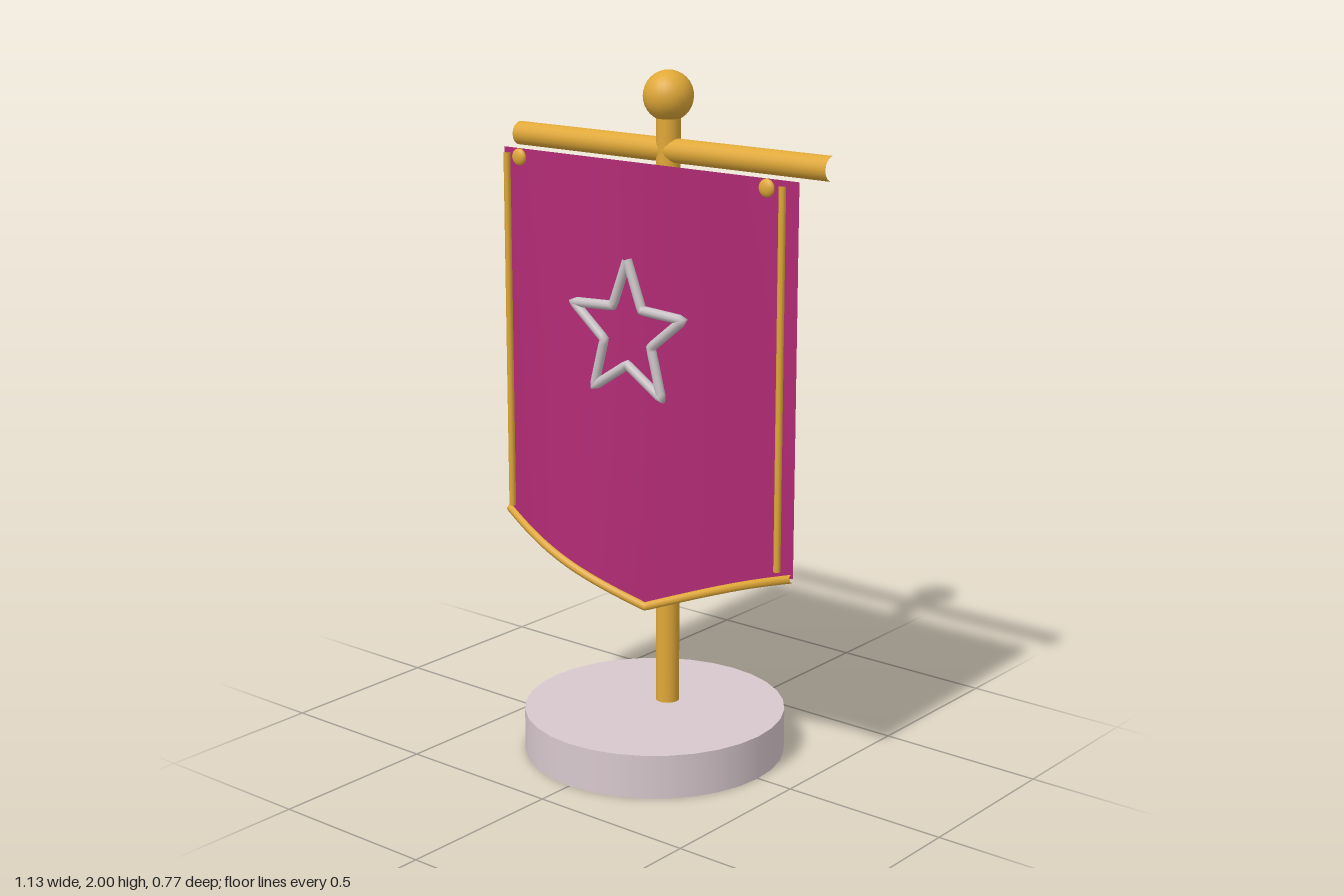
import * as THREE from 'three';

const gold = new THREE.MeshStandardMaterial({ color: 0xe0a838 });
const silver = new THREE.MeshStandardMaterial({ color: 0xc8c0c4 });
const stone = new THREE.MeshStandardMaterial({ color: 0xd8c8cd });
const fabric = new THREE.MeshStandardMaterial({ color: 0xb02a74, side: THREE.DoubleSide });

const HALF = 0.53, TOP = 1.75, POLE_Z = -0.06;

// Cloth surface: v runs from the straight top (0) to the pointed bottom (1),
// with one wave across the width that deepens downwards
function clothPoint(x, v) {
  const bottom = 0.45 + 0.2 * Math.abs(x) / HALF;
  const z = 0.045 - 0.054 * v * Math.sin(Math.PI * x / HALF);
  return new THREE.Vector3(x, TOP + (bottom - TOP) * v, z);
}

// Tube through straight pieces between points
function polyTube(points, segments, radius, sides) {
  const path = new THREE.CurvePath();
  for (let i = 1; i < points.length; i++) path.add(new THREE.LineCurve3(points[i - 1], points[i]));
  return new THREE.TubeGeometry(path, segments, radius, sides, false);
}

export function createModel() {
  const model = new THREE.Group();
  const add = (name, geometry, material, x = 0, y = 0, z = 0) => {
    const mesh = new THREE.Mesh(geometry, material);
    mesh.name = name;
    mesh.position.set(x, y, z);
    model.add(mesh);
    return mesh;
  };

  // Stand
  add('base', new THREE.CylinderGeometry(0.385, 0.385, 0.13, 32), stone, 0, 0.065, 0);
  add('pole', new THREE.CylinderGeometry(0.035, 0.035, 1.77, 24), gold, 0, 1.005, POLE_Z);
  add('finial', new THREE.SphereGeometry(0.072, 24, 16), gold, 0, 1.928, POLE_Z);

  // Crossbar, an open tube
  const bar = add('crossbar', new THREE.CylinderGeometry(0.035, 0.035, 1.126, 16, 1, true), gold, 0, 1.776, POLE_Z);
  bar.rotation.z = Math.PI / 2;

  // Waving banner cloth
  const cloth = new THREE.PlaneGeometry(2 * HALF, 1, 40, 24);
  const pos = cloth.attributes.position;
  for (let i = 0; i < pos.count; i++) {
    const p = clothPoint(pos.getX(i), 0.5 - pos.getY(i));
    pos.setXYZ(i, p.x, p.y, p.z);
  }
  cloth.computeVertexNormals();
  add('bannerCloth', cloth, fabric);

  // Trim along the pointed bottom edge
  const edge = [];
  for (let i = 0; i <= 40; i++) edge.push(clothPoint(-HALF + i * HALF / 20, 1));
  add('bottomTrim', polyTube(edge, 80, 0.013, 8), gold);

  // Side trims and buttons
  for (const [side, s] of [['left', 1], ['right', -1]]) {
    add(side + 'Trim', new THREE.CylinderGeometry(0.01, 0.01, 1.07, 8, 1, true), gold, s * 0.495, 1.205, 0.073);
    add(side + 'Button', new THREE.SphereGeometry(0.025, 16, 12), gold, s * 0.445, 1.73, 0.075).scale.z = 0.5;
  }

  // Star outline floating before the cloth
  const star = [];
  for (let i = 0; i <= 10; i++) {
    const a = Math.PI / 2 + i * Math.PI / 5, r = i % 2 ? 0.09 : 0.21;
    star.push(new THREE.Vector3(r * Math.cos(a), r * Math.sin(a), 0));
  }
  add('star', polyTube(star, 120, 0.014, 10), silver, 0, 1.28, 0.121);

  return model;
}
